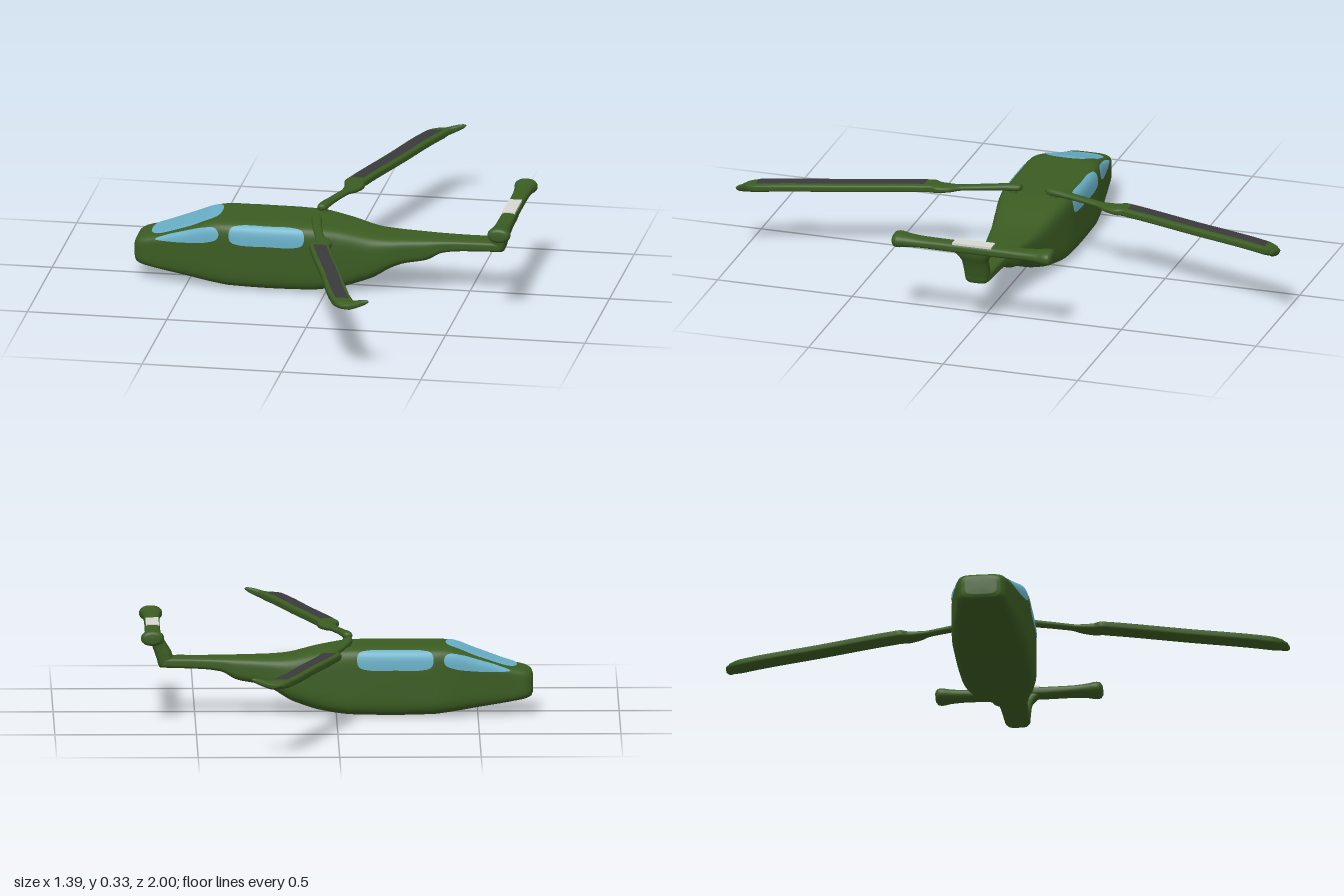
import * as THREE from 'three';

const mat = (name, color, side = THREE.FrontSide) => {
  const m = new THREE.MeshStandardMaterial({ color, side });
  m.name = name;
  return m;
};

// Smooth, overshoot-free interpolation of every column of a station table
function sample(rows, t) {
  let i = 0;
  while (i < rows.length - 2 && t > rows[i + 1][0]) i++;
  const h = rows[i + 1][0] - rows[i][0], s = (t - rows[i][0]) / h;
  const grad = (k, c) => (rows[k + 1][c] - rows[k][c]) / (rows[k + 1][0] - rows[k][0]);
  const slope = (k, c) => {
    if (k === 0) return grad(0, c);
    if (k === rows.length - 1) return grad(k - 1, c);
    const a = grad(k - 1, c), b = grad(k, c);
    return a * b <= 0 ? 0 : (2 * a * b) / (a + b);
  };
  return rows[i].map((p, c) => {
    const q = rows[i + 1][c], s2 = s * s, s3 = s2 * s;
    return p * (2 * s3 - 3 * s2 + 1) + q * (3 * s2 - 2 * s3)
      + h * ((s3 - 2 * s2 + s) * slope(i, c) + (s3 - s2) * slope(i + 1, c));
  });
}

// Skin of rounded-box sections. Station: [t, centreA, centreB, halfA, halfB, squareness],
// where t, A and B run along three successive axes starting at `axis`
function loft(rows, axis, steps = 5, bend = p => p, seg = 48) {
  const pos = [], idx = [], ts = [];
  rows.forEach((r, i) => {
    if (i) for (let k = 1; k <= steps; k++) ts.push(rows[i - 1][0] + (r[0] - rows[i - 1][0]) * k / steps);
    else ts.push(r[0]);
  });
  const put = (t, a, b) => {
    const p = [0, 0, 0];
    p[axis] = t; p[(axis + 1) % 3] = a; p[(axis + 2) % 3] = b;
    pos.push(...bend(p));
  };
  const pw = (v, e) => Math.sign(v) * Math.abs(v) ** (2 / e);
  ts.forEach(t => {
    const [, ca, cb, ha, hb, e] = sample(rows, t);
    for (let j = 0; j < seg; j++) {
      const w = (j + 0.5) / seg * Math.PI * 2;
      put(t, ca + ha * pw(Math.cos(w), e), cb + hb * pw(Math.sin(w), e));
    }
  });
  const last = (ts.length - 1) * seg, c = ts.length * seg;
  put(...rows[0]);
  put(...rows[rows.length - 1]);
  for (let j = 0; j < seg; j++) {
    const k = (j + 1) % seg;
    for (let o = 0; o < last; o += seg) idx.push(o + j, o + k, o + seg + k, o + j, o + seg + k, o + seg + j);
    idx.push(c, k, j, c + 1, last + j, last + k);
  }
  return finish(pos, idx);
}

function finish(pos, idx) {
  const g = new THREE.BufferGeometry();
  g.setAttribute('position', new THREE.Float32BufferAttribute(pos, 3));
  g.setIndex(idx);
  g.computeVertexNormals();
  return g;
}

// Thin skin inside a smooth closed outline, laid onto a surface by project(u, v)
function patch(outline, project, seg = 56, rings = 8) {
  const pts = new THREE.CatmullRomCurve3(outline.map(p => new THREE.Vector3(p[0], p[1], 0)), true)
    .getPoints(seg).slice(0, seg);
  const mid = pts.reduce((s, p) => s.add(p), new THREE.Vector3()).divideScalar(seg);
  const pos = [...project(mid.x, mid.y)], idx = [];
  for (let r = 1; r <= rings; r++) pts.forEach((p, j) => {
    const q = mid.clone().lerp(p, r / rings), k = (j + 1) % seg, o = 1 + (r - 1) * seg;
    pos.push(...project(q.x, q.y));
    if (r === 1) idx.push(0, 1 + j, 1 + k);
    else idx.push(o - seg + j, o + j, o + k, o - seg + j, o + k, o - seg + k);
  });
  return finish(pos, idx);
}

const edge = (u, e) => (1 - Math.min(Math.abs(u), 0.985) ** e) ** (1 / e);

// Fuselage: x, bottom, top, half width, squareness
const body = [
  [-0.695, 0.075, 0.135, 0.055, 4], [-0.688, 0.062, 0.15, 0.072, 4.5], [-0.665, 0.053, 0.162, 0.086, 5],
  [-0.63, 0.047, 0.169, 0.092, 6], [-0.5, 0.027, 0.212, 0.116, 6], [-0.4, 0.011, 0.245, 0.133, 6],
  [-0.34, 0.004, 0.248, 0.138, 6], [-0.2, 0.001, 0.248, 0.138, 6], [-0.06, 0.003, 0.247, 0.134, 6],
  [0.05, 0.015, 0.234, 0.117, 5], [0.15, 0.044, 0.212, 0.099, 4], [0.23, 0.09, 0.203, 0.085, 4],
  [0.27, 0.105, 0.202, 0.077, 4], [0.35, 0.12, 0.201, 0.064, 4], [0.41, 0.15, 0.2, 0.054, 4],
  [0.48, 0.158, 0.2, 0.048, 4], [0.6, 0.162, 0.2, 0.045, 4], [0.618, 0.165, 0.196, 0.04, 4],
  [0.625, 0.172, 0.19, 0.03, 4],
].map(([x, lo, hi, w, e]) => [x, (lo + hi) / 2, 0, (hi - lo) / 2, w, e]);

// One swept wing: z, centre x, centre y, half width, half height, squareness
const wing = [
  [0.045, -0.043, 0.263, 0.008, 0.006, 2], [0.052, -0.042, 0.263, 0.016, 0.012, 2.2],
  [0.08, -0.037, 0.263, 0.019, 0.013, 2.2], [0.15, -0.022, 0.26, 0.017, 0.011, 2.2],
  [0.25, 0.005, 0.256, 0.017, 0.01, 2.2], [0.29, 0.021, 0.255, 0.028, 0.012, 2.5],
  [0.33, 0.028, 0.255, 0.034, 0.014, 3], [0.355, 0.022, 0.255, 0.036, 0.015, 4],
  [0.38, 0.028, 0.255, 0.037, 0.015, 4], [0.65, 0.114, 0.255, 0.037, 0.015, 4],
  [0.94, 0.207, 0.255, 0.038, 0.015, 4], [0.968, 0.223, 0.255, 0.038, 0.015, 3],
  [0.982, 0.244, 0.255, 0.05, 0.014, 2.5], [0.99, 0.258, 0.255, 0.053, 0.012, 2.2],
  [0.998, 0.257, 0.255, 0.042, 0.007, 2],
];
const upturn = ([x, y, z]) => [x, y + 0.33 * Math.max(0, x - 0.24), z];

export function createModel() {
  const group = new THREE.Group();
  const green = mat('dark green paint', 0x3b5c22);
  const glass = mat('blue glass', 0x69b0c8, THREE.DoubleSide);
  const dark = mat('dark grey panel', 0x3a3a3c, THREE.DoubleSide);
  const white = mat('pale grey', 0xd6d6d2);
  const add = (name, geo, m) => {
    const mesh = new THREE.Mesh(geo, m);
    mesh.name = name;
    group.add(mesh);
    return mesh;
  };

  add('fuselage', loft(body, 0), green);

  // Windscreen follows the sloping nose
  add('windscreen', patch([
    [-0.635, -0.04], [-0.615, -0.07], [-0.55, -0.084], [-0.46, -0.09], [-0.41, -0.078], [-0.392, -0.05],
    [-0.392, 0.05], [-0.41, 0.078], [-0.46, 0.09], [-0.55, 0.084], [-0.615, 0.07], [-0.635, 0.04],
  ], (x, z) => {
    const [, cy, , hy, hz, e] = sample(body, x);
    return [x, cy + hy * edge(z / hz, e) + 0.003, z];
  }), glass);

  for (const s of [1, -1]) {
    const side = s > 0 ? 'left' : 'right';
    const onSide = (x, y) => {
      const [, cy, , hy, hz, e] = sample(body, x);
      return [x, y, s * (hz * edge((y - cy) / hy, e) + 0.003)];
    };
    add(side + 'CockpitWindow', patch([
      [-0.615, 0.16], [-0.57, 0.18], [-0.5, 0.203], [-0.44, 0.221], [-0.395, 0.226], [-0.38, 0.21],
      [-0.385, 0.187], [-0.42, 0.172], [-0.48, 0.163], [-0.56, 0.158],
    ], onSide), glass);
    add(side + 'CabinWindow', patch([
      [-0.343, 0.205], [-0.335, 0.23], [-0.305, 0.238], [-0.207, 0.239], [-0.11, 0.238], [-0.08, 0.23],
      [-0.072, 0.205], [-0.08, 0.18], [-0.11, 0.17], [-0.207, 0.169], [-0.305, 0.17], [-0.335, 0.18],
    ], onSide), glass);

    // Wing with its mounting peg and inset top panel
    const rows = s > 0 ? wing : wing.map(([z, ...r]) => [-z, ...r]).reverse();
    add(side + 'Wing', loft(rows, 2, 5, upturn, 32), green);
    const peg = add(side + 'WingMount', new THREE.CylinderGeometry(0.012, 0.016, 0.04, 16), green);
    peg.position.set(-0.038, 0.243, s * 0.075);
    const pos = [], idx = [];
    for (let i = 0; i <= 12; i++) {
      const z = 0.378 + i / 12 * 0.567, [, cx, cy, hx, hy, e] = sample(wing, z);
      for (let j = 0; j <= 4; j++) {
        const u = (j / 4 - 0.5) * 1.26, n = i * 5 + j;
        pos.push(...upturn([cx + hx * u, cy + hy * edge(u, e) + 0.002, s * z]));
        if (i < 12 && j < 4) idx.push(n, n + 5, n + 6, n, n + 6, n + 1);
      }
    }
    add(side + 'WingPanel', finish(pos, idx), dark);
  }

  // Raked fin flaring into the tailplane: y, centre z, centre x, half z, half x, squareness
  add('tailFin', loft([
    [0.164, 0, 0.603, 0.036, 0.022, 3], [0.18, 0, 0.603, 0.043, 0.028, 3.5], [0.21, 0, 0.61, 0.045, 0.03, 3.5],
    [0.25, 0, 0.629, 0.047, 0.026, 3.5], [0.28, 0, 0.644, 0.062, 0.025, 3.5], [0.305, 0, 0.65, 0.11, 0.023, 3.5],
  ], 1), green);

  // Tailplane with bulbous ends
  const half = [
    [0.06, 0.65, 0.306, 0.027, 0.018, 3], [0.18, 0.65, 0.307, 0.029, 0.018, 2.6],
    [0.24, 0.65, 0.308, 0.034, 0.022, 2.3], [0.275, 0.652, 0.309, 0.041, 0.027, 2.2],
    [0.288, 0.652, 0.309, 0.038, 0.025, 2.2], [0.296, 0.652, 0.309, 0.026, 0.016, 2.2],
  ];
  add('tailplane', loft([...half.map(([z, ...r]) => [-z, ...r]).reverse(), ...half], 2, 4), green);
  add('tailplanePlate', new THREE.BoxGeometry(0.046, 0.008, 0.145), white).position.set(0.65, 0.323, 0);

  return group;
}
